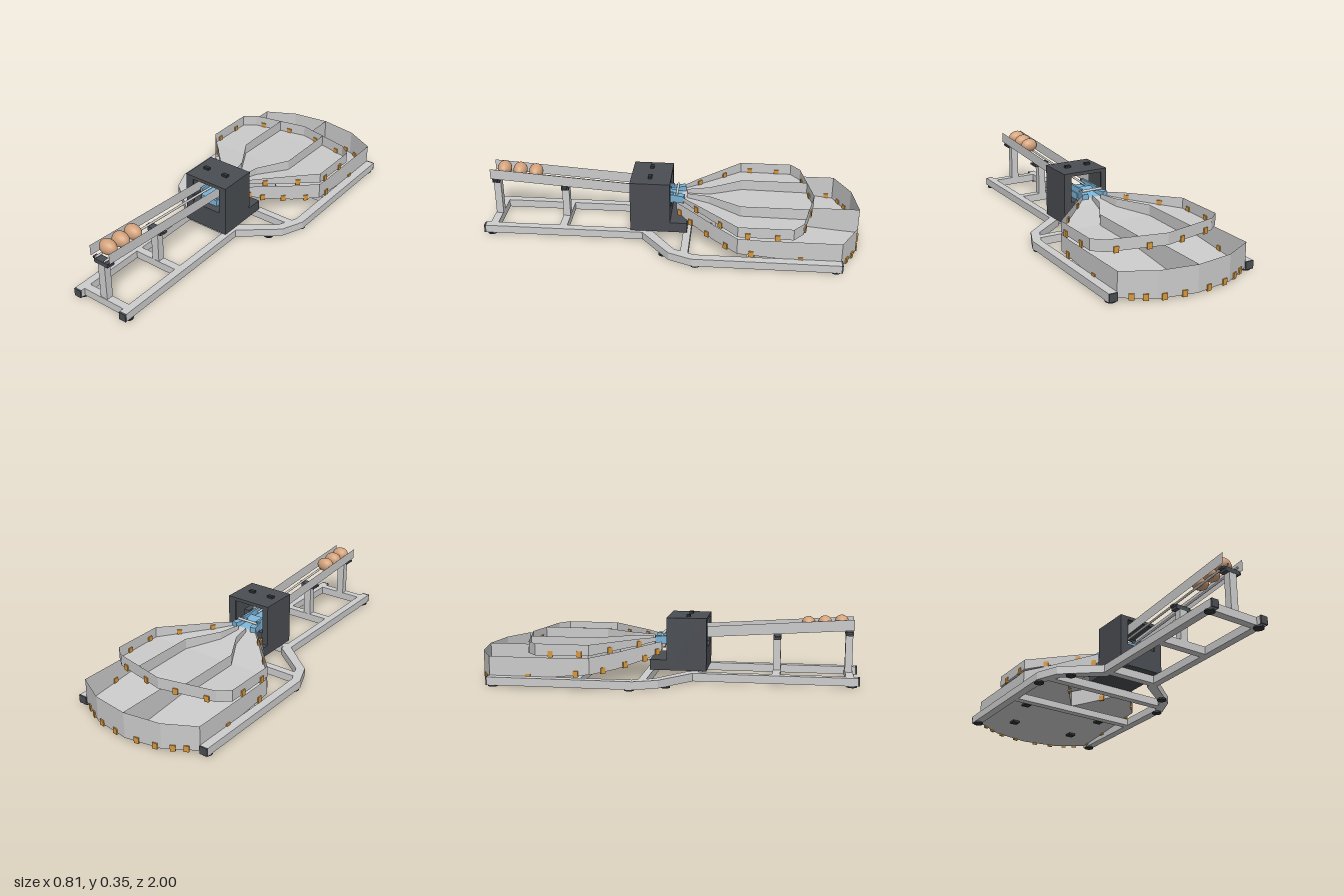
import * as THREE from 'three';

export function createModel() {
  const model = new THREE.Group();
  const mat = (name, color, side = THREE.FrontSide) => {
    const m = new THREE.MeshStandardMaterial({ color, side });
    m.name = name;
    return m;
  };
  const alu = mat('aluminium', 0xcdcdcd);
  const sheet = mat('sheetMetal', 0xcbcbcb, THREE.DoubleSide);
  const dark = mat('darkHousing', 0x4a4d52);
  const black = mat('blackRubber', 0x2f3236);
  const orange = mat('orangeClip', 0xd8983c);
  const blue = mat('bluePlastic', 0x7bb3d6);
  const shell = mat('eggshell', 0xd3a27c);

  const add = (name, geo, material) => {
    const mesh = new THREE.Mesh(geo, material);
    mesh.name = name;
    model.add(mesh);
    return mesh;
  };
  // box given by its min and max on each axis
  const box = (name, material, x0, x1, y0, y1, z0, z1) => {
    const mesh = add(name, new THREE.BoxGeometry(x1 - x0, y1 - y0, z1 - z0), material);
    mesh.position.set((x0 + x1) / 2, (y0 + y1) / 2, (z0 + z1) / 2);
    return mesh;
  };
  const surface = (name, quads, material) => {
    const pos = [];
    for (const [a, b, c, d] of quads) pos.push(...a, ...b, ...c, ...a, ...c, ...d);
    const geo = new THREE.BufferGeometry();
    geo.setAttribute('position', new THREE.Float32BufferAttribute(pos, 3));
    geo.computeVertexNormals();
    return add(name, geo, material);
  };

  // ---- base frame ----
  const railOutline = [[0.405, -0.885], [0.405, -0.13], [0.355, -0.01], [0.165, 0.145], [0.165, 0.99],
    [0.125, 0.99], [0.125, 0.11], [0.315, -0.035], [0.36, -0.14], [0.36, -0.885]];
  for (const s of [-1, 1]) {
    const shape = new THREE.Shape(railOutline.map(([x, z]) => new THREE.Vector2(s * x, z)));
    const geo = new THREE.ExtrudeGeometry(shape, { depth: 0.042, bevelEnabled: false });
    geo.rotateX(Math.PI / 2).translate(0, 0.05, 0);
    add('frameRail', geo, alu);
    box('frontEndCap', dark, s * 0.145 - 0.02, s * 0.145 + 0.02, 0.008, 0.05, 0.99, 1);
    box('rearEndCap', dark, s * 0.3825 - 0.0225, s * 0.3825 + 0.0225, 0.008, 0.05, -0.893, -0.885);
    for (const [x, z] of [[0.38, -0.86], [0.38, -0.15], [0.29, 0.02], [0.145, 0.96]]) {
      const foot = add('foot', new THREE.CylinderGeometry(0.026, 0.026, 0.008, 16), black);
      foot.position.set(s * x, 0.004, z);
    }
  }
  for (const [z, w] of [[0.95, 0.125], [0.575, 0.125], [0.15, 0.125], [-0.09, 0.36], [-0.43, 0.36]])
    box('crossBeam', alu, -w, w, 0.008, z < -0.4 ? 0.045 : 0.05, z - 0.02, z + 0.02);

  // ---- feed ramp ----
  const rampY = z => 0.277 + (z - 0.97) * 0.068; // lower edge of the ramp
  for (const [z, top] of [[0.947, 0.25], [0.575, 0.22]]) {
    box('rampPost', alu, -0.021, 0.021, 0.05, top, z - 0.019, z + 0.019);
    box('rampBracket', dark, -0.042, 0.042, top - 0.005, top + 0.018, z - 0.02, z + 0.02);
    box('railHolder', dark, -0.058, 0.058, top + 0.008, top + 0.018, z - 0.012, z + 0.012);
  }
  for (const s of [-1, 1]) {
    const x = s * 0.06, a = 0.97, b = 0.1;
    surface('rampSideWall', [[[x, rampY(a), a], [x, rampY(b), b], [x, rampY(b) + 0.057, b], [x, rampY(a) + 0.057, a]]], sheet);
    const path = new THREE.LineCurve3(new THREE.Vector3(s * 0.029, rampY(a) + 0.004, a), new THREE.Vector3(s * 0.029, rampY(b) + 0.004, b));
    add('rampRod', new THREE.TubeGeometry(path, 1, 0.006, 10, false), sheet);
  }

  // ---- eggs lying across the ramp ----
  for (const z of [0.905, 0.82, 0.735]) {
    const geo = new THREE.SphereGeometry(1, 32, 20);
    const p = geo.attributes.position;
    for (let i = 0; i < p.count; i++) { // taper toward one end
      const k = 1 - 0.08 * p.getX(i);
      p.setXYZ(i, p.getX(i) * 0.048, p.getY(i) * 0.039 * k, p.getZ(i) * 0.037 * k);
    }
    geo.computeVertexNormals();
    add('egg', geo, shell).position.set(-0.005, rampY(z) + 0.04, z);
  }

  // ---- machine housing ----
  const panel = (name, z, x0, x1, y0, y1) => {
    const shape = new THREE.Shape([[-0.108, 0.05], [0.147, 0.05], [0.147, 0.33], [-0.108, 0.33]].map(p => new THREE.Vector2(...p)));
    shape.holes.push(new THREE.Path([[x0, y0], [x0, y1], [x1, y1], [x1, y0]].map(p => new THREE.Vector2(...p))));
    const geo = new THREE.ExtrudeGeometry(shape, { depth: 0.01, bevelEnabled: false });
    add(name, geo.translate(0, 0, z), dark);
  };
  panel('housingFront', 0.2, -0.065, 0.105, 0.17, 0.312);
  panel('housingBack', 0, -0.075, 0.105, 0.17, 0.312);
  box('housingSide', dark, -0.108, -0.098, 0.05, 0.33, 0.01, 0.2);
  box('housingSide', dark, 0.137, 0.147, 0.05, 0.33, 0.01, 0.2);
  box('housingTop', dark, -0.098, 0.137, 0.32, 0.33, 0.01, 0.2);
  box('housingBase', dark, -0.098, 0.137, 0.05, 0.17, 0.01, 0.2);
  box('rearBase', dark, -0.108, 0.147, 0.05, 0.105, -0.09, 0);
  for (const x of [-0.05, 0.07]) box('topButton', black, x - 0.016, x + 0.016, 0.33, 0.342, 0.1, 0.12);
  box('servo', dark, 0.072, 0.105, 0.2, 0.232, 0.08, 0.16);
  box('sorterBody', blue, -0.042, 0.06, 0.17, 0.205, 0.02, 0.17);
  for (const s of [-1, 1]) {
    box('sorterCheek', blue, s * 0.048 - 0.006, s * 0.048 + 0.006, 0.175, 0.237, -0.01, 0.16);
    const guide = box('outletGuide', blue, s * 0.05 - 0.016, s * 0.05 + 0.016, 0.185, 0.225, -0.07, 0.01);
    guide.rotation.y = -s * 0.25;
  }
  const flap = box('outletFlap', blue, -0.04, 0.04, 0.205, 0.213, -0.06, 0.06);
  flap.rotation.x = -0.25;
  const axle = add('outletAxle', new THREE.CylinderGeometry(0.007, 0.007, 0.12, 12), alu);
  axle.rotation.z = Math.PI / 2;
  axle.position.set(0, 0.232, -0.03);

  // ---- collecting trays: rows of [z, inner x, outer x, floor y, rim y] for one half ----
  const lower = [[-0.03, 0.04, 0.09, 0.15, 0.2], [-0.1, 0.075, 0.147, 0.115, 0.19], [-0.24, 0.15, 0.262, 0.08, 0.168],
    [-0.36, 0.065, 0.36, 0.067, 0.155], [-0.45, 0, 0.36, 0.06, 0.15], [-0.885, 0, 0.36, 0.02, 0.15],
    [-0.97, 0, 0.2, 0.013, 0.15], [-1, 0, 0, 0.011, 0.15]];
  const upper = [[-0.05, 0, 0.06, 0.2, 0.218], [-0.13, 0, 0.14, 0.187, 0.222], [-0.36, 0, 0.36, 0.165, 0.222],
    [-0.64, 0, 0.36, 0.161, 0.222], [-0.69, 0, 0.3, 0.16, 0.222], [-0.755, 0, 0, 0.16, 0.222]];
  const rowAt = (rows, z) => {
    let i = 0;
    while (i < rows.length - 2 && rows[i + 1][0] > z) i++;
    const t = (z - rows[i][0]) / (rows[i + 1][0] - rows[i][0]);
    return rows[i].map((v, k) => v + (rows[i + 1][k] - v) * t);
  };
  const fence = (name, rows, points) => { // upright sheet along points of [x, z]
    const quads = [];
    for (let i = 0; i + 1 < points.length; i++) {
      const [[x0, z0], [x1, z1]] = [points[i], points[i + 1]];
      const a = rowAt(rows, z0), b = rowAt(rows, z1);
      quads.push([[x0, a[3], z0], [x1, b[3], z1], [x1, b[4], z1], [x0, a[4], z0]]);
    }
    surface(name, quads, sheet);
  };
  const tray = (name, rows, clipZ) => {
    for (const s of [-1, 1]) {
      const floor = [];
      for (let i = 0; i + 1 < rows.length; i++) {
        const [a, b] = [rows[i], rows[i + 1]];
        floor.push([[s * a[1], a[3], a[0]], [s * a[2], a[3], a[0]], [s * b[2], b[3], b[0]], [s * b[1], b[3], b[0]]]);
      }
      surface(name + 'Floor', floor, sheet);
      fence(name + 'OuterWall', rows, rows.map(r => [s * r[2], r[0]]));
      // clips holding wall to floor, turned along the wall
      for (const z of clipZ) {
        const r = rowAt(rows, z), q = rowAt(rows, z - 0.005);
        const clip = box('wallClip', orange, -0.006, 0.006, -0.014, 0.018, -0.013, 0.013);
        clip.position.set(s * r[2], r[3] + 0.008, z);
        clip.rotation.y = Math.atan2(s * (r[2] - q[2]), r[0] - q[0]);
      }
    }
  };
  tray('lowerTray', lower, [-0.05, -0.11, -0.2, -0.3, -0.43, -0.68, -0.85, -0.915, -0.945, -0.975, -0.99]);
  tray('upperTray', upper, [-0.14, -0.27, -0.41, -0.56, -0.7, -0.735]);
  fence('lowerDivider', lower, [[0, -0.45], [0, -0.885], [0, -1]]);
  for (const s of [-1, 1]) {
    fence('lowerInnerWall', lower, lower.slice(0, 5).map(r => [s * r[1], r[0]]));
    fence('upperDivider', upper, [[s * 0.025, -0.08], [s * 0.05, -0.2], [s * 0.147, -0.37], [s * 0.147, -0.64], [s * 0.147, -0.723]]);
    for (const z of [-0.12, -0.21, -0.3]) {
      const r = rowAt(lower, z);
      const clip = box('innerClip', orange, -0.006, 0.006, -0.012, 0.018, -0.013, 0.013);
      clip.position.set(s * r[1], r[3] + 0.008, z);
      clip.rotation.y = s * (z > -0.24 ? -0.49 : 0.62);
    }
    // pads under the lower tray
    for (const [x, z] of [[0.24, -0.54], [0.1, -0.5], [0.19, -0.77]]) {
      const y = rowAt(lower, z)[3];
      box('underPad', black, s * x - 0.02, s * x + 0.02, y - 0.014, y - 0.002, z - 0.02, z + 0.02);
    }
  }
  return model;
}
